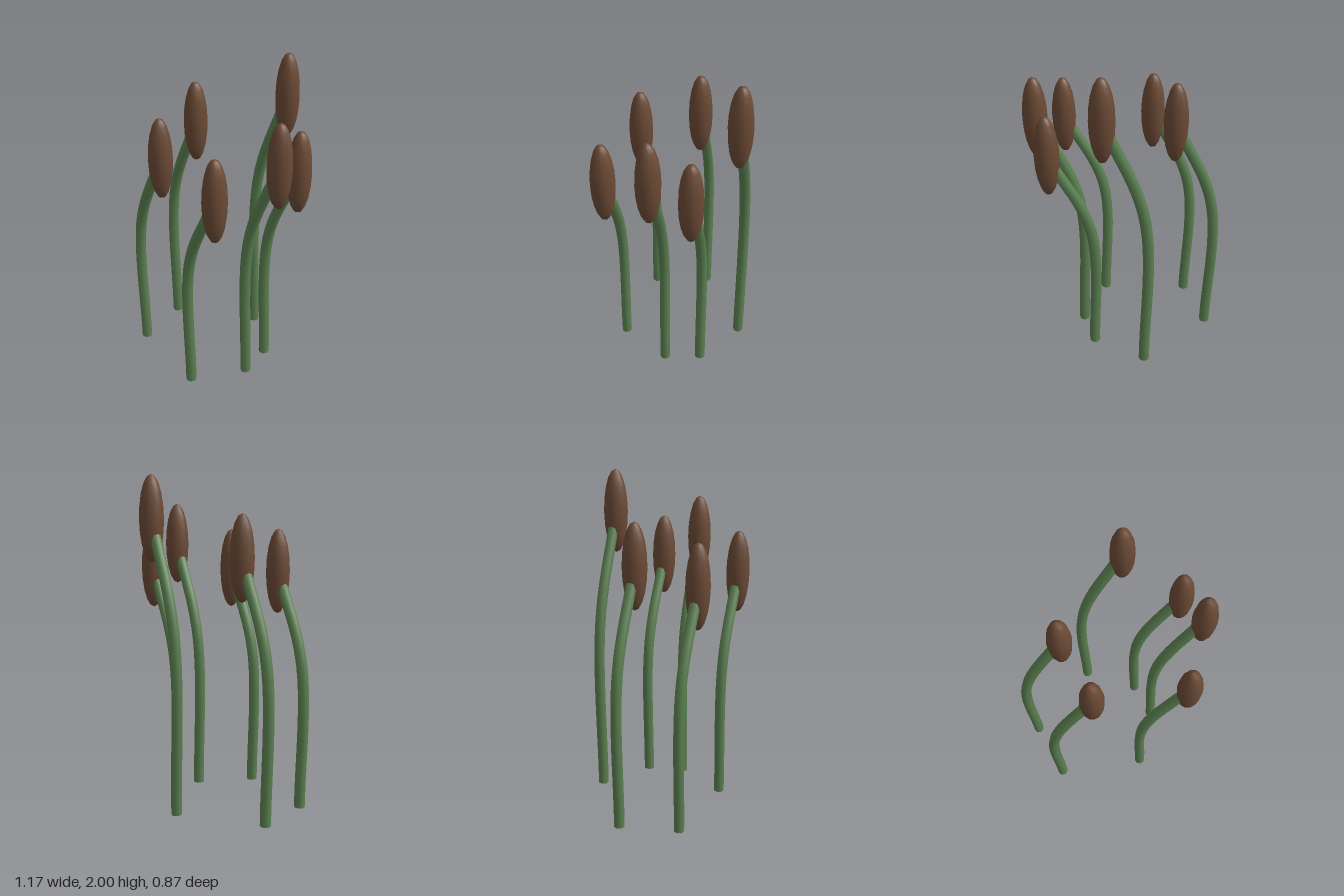
import * as THREE from 'three';

const HEAD_RADIUS = 0.0725;
const HEAD_HALF_HEIGHT = 0.255;
const STEM_RADIUS = 0.033;
const LEAN = 0.243;

// Each reed: foot x, foot z, height of the head's centre
const REEDS = [
  [-0.533, -0.03, 1.53],
  [-0.432, 0.313, 1.425],
  [-0.098, -0.365, 1.745],
  [0.114, 0.36, 1.39],
  [0.209, -0.178, 1.425],
  [0.272, 0.04, 1.555],
];

export function createModel() {
  const model = new THREE.Group();
  model.name = 'reeds';

  const green = new THREE.MeshStandardMaterial({ color: 0x5a8050, side: THREE.DoubleSide });
  const brown = new THREE.MeshStandardMaterial({ color: 0x6b4a35 });
  const headGeometry = new THREE.SphereGeometry(HEAD_RADIUS, 12, 10);
  headGeometry.scale(1, HEAD_HALF_HEIGHT / HEAD_RADIUS, 1);

  REEDS.forEach(([x, z, height], i) => {
    const reed = new THREE.Group();
    reed.name = `reed${i + 1}`;
    reed.position.set(x, 0, z);

    // Stem bows slightly back, then leans over into the head
    const path = new THREE.CatmullRomCurve3([
      new THREE.Vector3(0, 0, 0),
      new THREE.Vector3(0, height * 0.6, 0),
      new THREE.Vector3(LEAN, height, 0),
    ], false, 'catmullrom', 0.5);
    const stem = new THREE.Mesh(new THREE.TubeGeometry(path, 20, STEM_RADIUS, 8), green);
    stem.name = 'stem';

    // Upright seed head on the stem's tip
    const head = new THREE.Mesh(headGeometry, brown);
    head.name = 'seedHead';
    head.position.set(LEAN, height, 0);

    reed.add(stem, head);
    model.add(reed);
  });

  return model;
}
